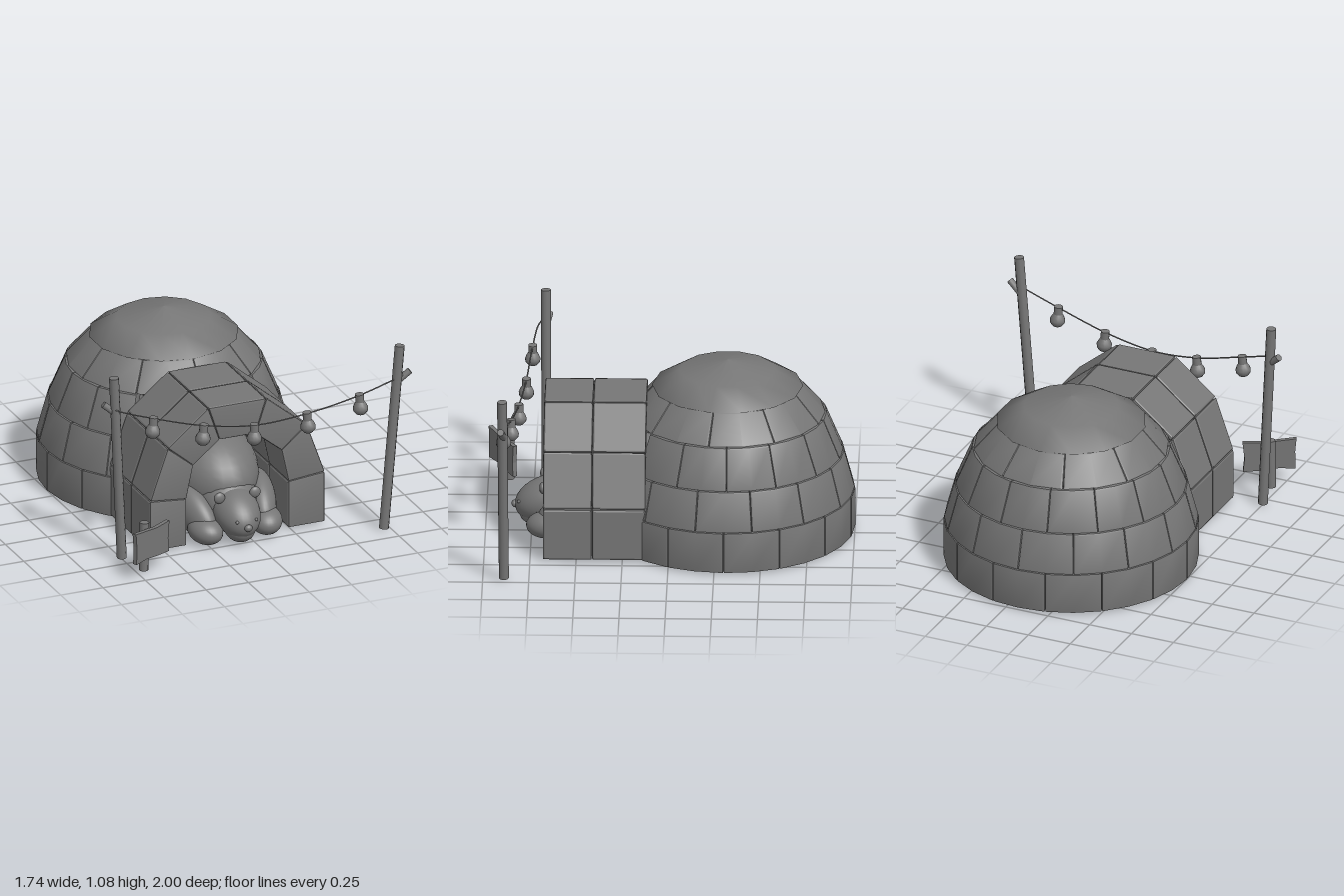
import * as THREE from 'three';
import { toCreasedNormals } from 'three/addons/utils/BufferGeometryUtils.js';

const grey = new THREE.MeshStandardMaterial({ color: 0x767676 });
const V = (x, y, z) => new THREE.Vector3(x, y, z);
const lerp = THREE.MathUtils.lerp;
const CX = -0.07, CZ = -0.31; // centre of the dome

function add(parent, name, geometry) {
  const mesh = new THREE.Mesh(geometry, grey);
  mesh.name = name;
  parent.add(mesh);
  return mesh;
}

function addGroup(parent, name) {
  const group = new THREE.Group();
  group.name = name;
  parent.add(group);
  return group;
}

// Snow block with softened edges; map turns (u, v, w) in 0..1 into a point
function blockGeometry(map) {
  const geo = new THREE.BoxGeometry(1, 1, 1, 4, 3, 3);
  const pos = geo.attributes.position;
  const bevel = [0.035, 0.04, 0.08];
  for (let i = 0; i < pos.count; i++) {
    const c = [pos.getX(i), pos.getY(i), pos.getZ(i)];
    const extremes = c.filter((t) => Math.abs(t) > 0.49).length;
    const q = c.map((t, k) => {
      const a = Math.abs(t);
      if (a < 0.01) return 0.5;
      const inset = a < 0.49 ? bevel[k] : extremes > 1 ? bevel[k] * 0.25 : 0;
      return 0.5 + Math.sign(t) * (0.5 - inset);
    });
    const p = map(...q);
    pos.setXYZ(i, p.x, p.y, p.z);
  }
  geo.deleteAttribute('normal');
  geo.deleteAttribute('uv');
  return toCreasedNormals(geo, 0.4);
}

// Rod between two points
function rod(parent, name, a, b, r, sides = 10) {
  const mesh = add(parent, name, new THREE.CylinderGeometry(r, r, a.distanceTo(b), sides));
  mesh.position.copy(a).lerp(b, 0.5);
  mesh.quaternion.setFromUnitVectors(V(0, 1, 0), b.clone().sub(a).normalize());
}

// Ellipsoid
function blob(parent, name, p, r, tilt = 0, turn = 0) {
  const mesh = add(parent, name, new THREE.SphereGeometry(1, 28, 20));
  mesh.position.set(...p);
  mesh.scale.set(...r);
  mesh.rotation.set(tilt, turn, 0, 'YXZ');
}

function buildDome(root) {
  const dome = addGroup(root, 'dome');
  const wall = 0.1;
  const rows = [ // heights, outer radii, first angle, block count, half-block shift
    { y: [0.01, 0.241], r: [0.692, 0.692], start: 37.5, n: 11, shift: 0 },
    { y: [0.242, 0.458], r: [0.69, 0.632], start: 37.5, n: 11, shift: 0.5 },
    { y: [0.459, 0.678], r: [0.628, 0.537], start: 39.5, n: 11, shift: 0 },
    { y: [0.679, 0.828], r: [0.532, 0.4], start: 0, n: 9, shift: 0 },
  ];
  for (const { y, r, start, n, shift } of rows) {
    const joints = [start];
    const pitch = (360 - 2 * start) / n;
    for (let i = shift || 1; i < n; i++) joints.push(start + i * pitch);
    joints.push(360 - start);
    for (let i = 0; i < joints.length - 1; i++) {
      add(dome, 'domeBlock', blockGeometry((u, v, w) => {
        const a = THREE.MathUtils.degToRad(lerp(joints[i] + 0.06, joints[i + 1] - 0.06, u));
        const radius = lerp(r[0], r[1], v) - wall * (1 - w);
        return V(CX + Math.sin(a) * radius, lerp(y[0], y[1], v), CZ + Math.cos(a) * radius);
      }));
    }
  }
  // Faceted round cap, closed underneath
  const profile = [[0, 0.88], [0.2, 0.85], [0.32, 0.81], [0.41, 0.83], [0.26, 0.922], [0, 0.98]];
  const lathe = new THREE.LatheGeometry(profile.map(([x, y]) => new THREE.Vector2(x, y)), 14);
  add(dome, 'domeCap', lathe).position.set(CX, 0, CZ);
}

function buildTunnel(root) {
  const tunnel = addGroup(root, 'entranceTunnel');
  const half = [ // inner x, inner y, outer x, outer y
    [0.3, 0.01, 0.517, 0.01], [0.3, 0.285, 0.517, 0.305],
    [0.26, 0.475, 0.412, 0.602], [0.105, 0.6, 0.172, 0.799],
  ];
  const arch = [
    ...half.map(([a, b, c, d]) => [-a, b, -c, d]),
    ...half.slice().reverse(),
  ];
  for (const [z0, z1] of [[0.125, 0.4145], [0.4155, 0.68]]) {
    for (let i = 0; i < arch.length - 1; i++) {
      add(tunnel, 'archBlock', blockGeometry((u, v, w) => {
        const s = lerp(0.002, 0.998, v);
        const [ix, iy, ox, oy] = arch[i].map((t, k) => lerp(t, arch[i + 1][k], s));
        return V(-0.065 + lerp(ix, ox, w), lerp(iy, oy, w), lerp(z0, z1, u));
      }));
    }
  }
}

function buildBear(root) {
  const bear = addGroup(root, 'bear');
  bear.position.x = -0.072;
  blob(bear, 'body', [0, 0.27, 0.24], [0.27, 0.265, 0.42]);
  blob(bear, 'belly', [0, 0.16, 0.3], [0.23, 0.16, 0.36]);
  blob(bear, 'neck', [0, 0.2, 0.53], [0.17, 0.15, 0.2], 0.4);
  // Long head tapering to the nose
  blob(bear, 'head', [0, 0.165, 0.66], [0.13, 0.12, 0.19], 0.35);
  blob(bear, 'chin', [0, 0.09, 0.72], [0.085, 0.08, 0.1], 0.2);
  blob(bear, 'nose', [0, 0.127, 0.843], [0.023, 0.02, 0.018]);
  for (const s of [-1, 1]) {
    blob(bear, 'ear', [s * 0.105, 0.262, 0.69], [0.032, 0.032, 0.018]);
    blob(bear, 'eye', [s * 0.056, 0.16, 0.82], [0.009, 0.009, 0.009]);
    blob(bear, 'arm', [s * 0.2, 0.15, 0.54], [0.085, 0.115, 0.2], 0.45, s * -0.25);
    blob(bear, 'paw', [s * 0.18, 0.078, 0.67], [0.088, 0.073, 0.11], 0.1, s * -0.3);
    blob(bear, 'thigh', [s * 0.14, 0.16, -0.08], [0.12, 0.14, 0.19]);
    blob(bear, 'hindFoot', [s * 0.16, 0.1, -0.22], [0.085, 0.09, 0.13]);
  }
}

function buildLights(root) {
  const lights = addGroup(root, 'stringLights');
  // Leaning poles with a branch stub each
  rod(lights, 'rightPole', V(-0.752, 0.01, 0.685), V(-0.8, 1.08, 0.69), 0.027);
  rod(lights, 'rightStub', V(-0.785, 0.865, 0.69), V(-0.855, 0.925, 0.67), 0.019);
  rod(lights, 'leftPole', V(0.71, 0.01, 0.885), V(0.8, 1.075, 0.893), 0.027);
  rod(lights, 'leftStub', V(0.785, 0.86, 0.885), V(0.857, 0.92, 0.9), 0.019);
  // Hanging wire
  const wire = new THREE.CatmullRomCurve3([
    V(-0.83, 0.91, 0.68), V(-0.785, 0.893, 0.722), V(-0.595, 0.832, 0.757), V(-0.31, 0.752, 0.785),
    V(-0.028, 0.718, 0.82), V(0.268, 0.75, 0.855), V(0.563, 0.82, 0.89), V(0.85, 0.912, 0.905),
  ]);
  add(lights, 'wire', new THREE.TubeGeometry(wire, 64, 0.004, 6));
  // Bulbs hanging from sockets
  const lean = [0.08, 0.08, 0, -0.08, -0.08];
  const profile = [[0, -0.115], [0.025, -0.108], [0.04, -0.09], [0.042, -0.072], [0.034, -0.052], [0.023, -0.035]];
  for (let i = 0; i < 5; i++) {
    const bulb = addGroup(lights, 'bulb');
    bulb.position.copy(wire.points[i + 2]);
    bulb.rotation.z = -lean[i];
    rod(bulb, 'socket', V(0, 0.008, 0), V(0, -0.045, 0), 0.024, 12);
    add(bulb, 'bulbGlass', new THREE.LatheGeometry(profile.map(([x, y]) => new THREE.Vector2(x, y)), 14));
  }
}

function buildSign(root) {
  const sign = addGroup(root, 'sign');
  rod(sign, 'signPost', V(-0.71, 0.01, 0.885), V(-0.705, 0.29, 0.885), 0.026);
  // Roughly cut board
  const outline = [[-0.14, -0.085], [-0.05, -0.08], [0.06, -0.093], [0.145, -0.098], [0.137, -0.02],
    [0.148, 0.08], [0.04, 0.075], [-0.05, 0.085], [-0.145, 0.095], [-0.138, 0.02]];
  const shape = new THREE.Shape(outline.map(([x, y]) => new THREE.Vector2(x, y)));
  const geo = new THREE.ExtrudeGeometry(shape, { depth: 0.024, bevelEnabled: false });
  geo.translate(0, 0, -0.012);
  const board = add(sign, 'signBoard', geo);
  board.position.set(-0.683, 0.183, 0.921);
  board.rotation.y = 0.495;
}

export function createModel() {
  const root = new THREE.Group();
  root.name = 'snowHouse';
  buildDome(root);
  buildTunnel(root);
  buildBear(root);
  buildLights(root);
  buildSign(root);
  return root;
}
